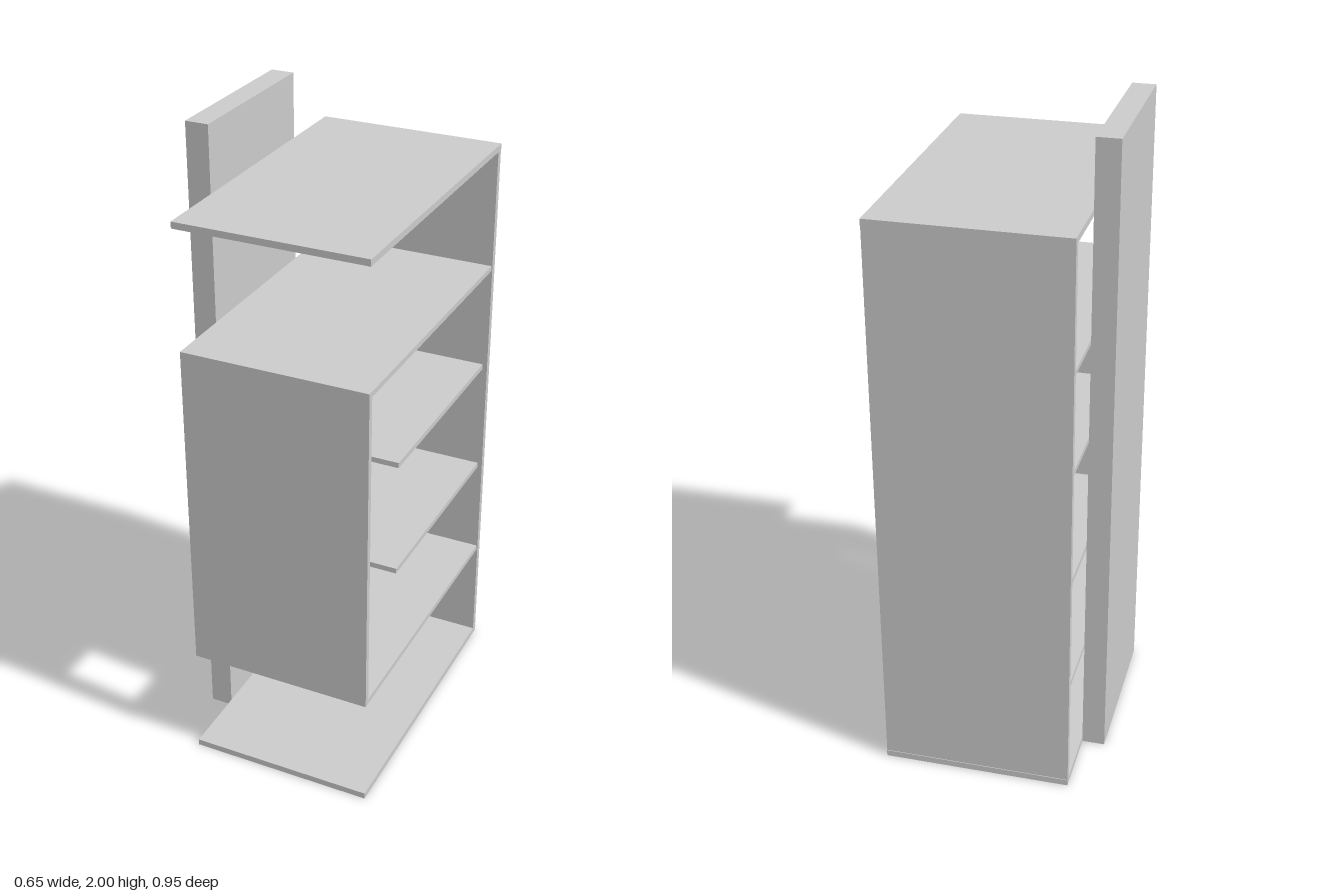
import * as THREE from 'three';

const material = new THREE.MeshStandardMaterial({ color: 0xcccccc, flatShading: true });

// Box given by its limits along each axis
function board(name, [x0, x1], [y0, y1], [z0, z1]) {
  const mesh = new THREE.Mesh(new THREE.BoxGeometry(x1 - x0, y1 - y0, z1 - z0), material);
  mesh.name = name;
  mesh.position.set((x0 + x1) / 2, (y0 + y1) / 2, (z0 + z1) / 2);
  return mesh;
}

export function createModel() {
  const group = new THREE.Group();
  group.name = 'shelfUnit';
  const width = [-0.257, 0.326];
  const inner = [-0.254, 0.323];
  const inset = [-0.242, 0.311];
  const t = 0.02;

  // Upright slab beside the shelves
  group.add(board('sideColumn', [-0.328, -0.257], [0, 2], [-0.257, 0.257]));

  // Back panel between the base and top boards
  group.add(board('backPanel', width, [t, 1.8 - t], [-0.473, -0.452]));
  group.add(board('baseBoard', width, [0, t], [-0.475, 0.475]));
  group.add(board('topBoard', width, [1.8 - t, 1.8], [-0.475, 0.475]));

  // Middle compartment: floor, ceiling and front panel
  group.add(board('compartmentFloor', inner, [0.353, 0.37], [-0.452, 0.468]));
  group.add(board('compartmentCeiling', inner, [1.393, 1.41], [-0.452, 0.468]));
  group.add(board('frontPanel', inner, [0.37, 1.393], [0.45, 0.468]));

  // Short shelves inside the compartment
  for (const y of [0.68, 1.048]) {
    group.add(board('innerShelf', inset, [y, y + 0.017], [-0.452, 0.228]));
  }
  return group;
}
